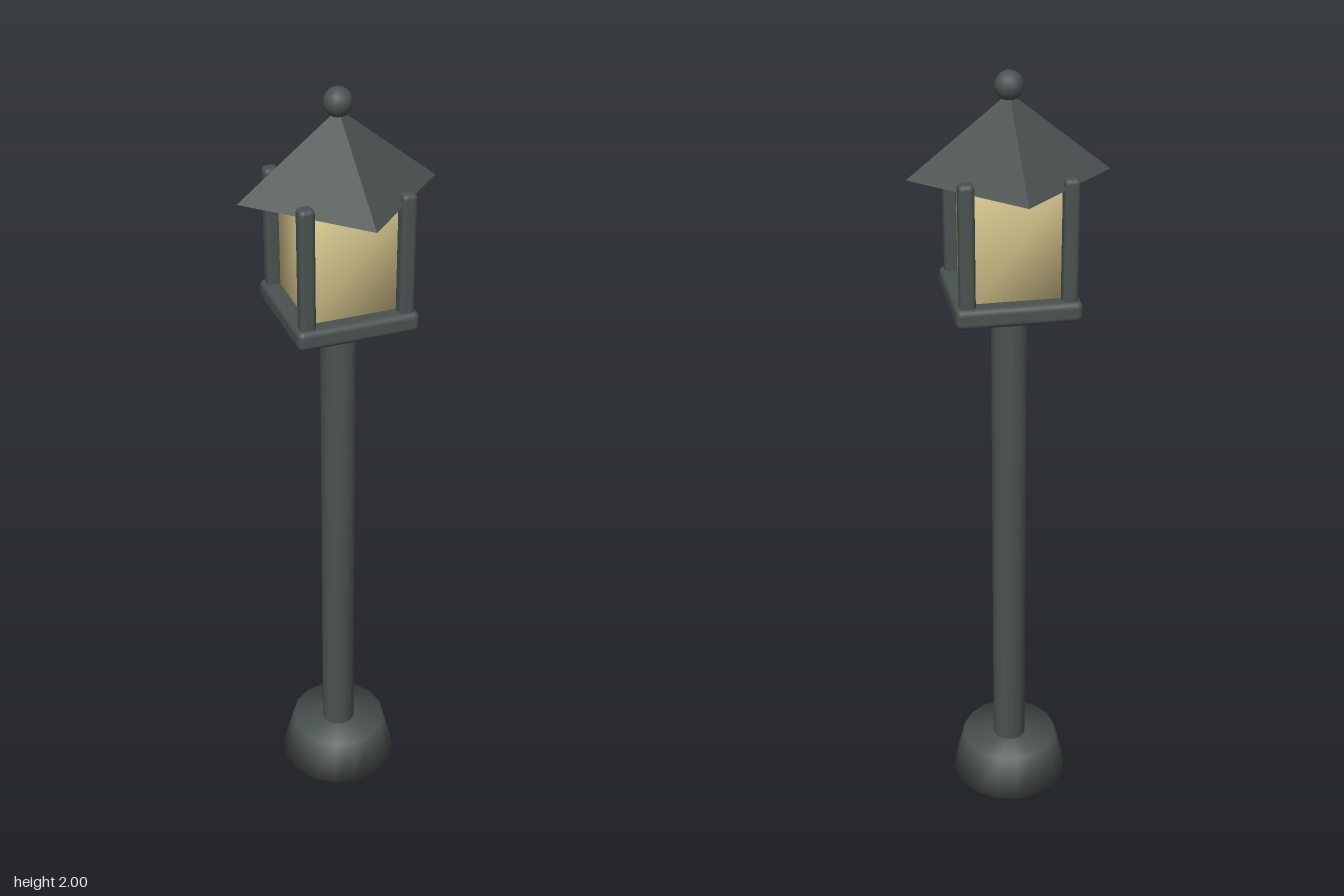
import * as THREE from 'three';
import { mergeVertices } from 'three/addons/utils/BufferGeometryUtils.js';
import { RoundedBoxGeometry } from 'three/addons/geometries/RoundedBoxGeometry.js';

// Weld all corners so shading runs softly across every edge
function soften(geometry) {
  geometry.deleteAttribute('uv');
  geometry.deleteAttribute('normal');
  const welded = mergeVertices(geometry, 1e-4);
  welded.computeVertexNormals();
  return welded;
}

export function createModel() {
  const model = new THREE.Group();
  model.name = 'lampPost';

  const iron = new THREE.MeshStandardMaterial({ color: 0x4a5250 });
  iron.name = 'darkIron';
  const glow = new THREE.MeshStandardMaterial({ color: 0xd8c78e });
  glow.name = 'warmGlass';

  const add = (name, geometry, material, x, y, z) => {
    const mesh = new THREE.Mesh(geometry, material);
    mesh.name = name;
    mesh.position.set(x, y, z);
    model.add(mesh);
    return mesh;
  };

  // Foot and pole
  add('foot', soften(new THREE.CylinderGeometry(0.13, 0.16, 0.12, 16)), iron, 0, 0.06, 0);
  add('pole', soften(new THREE.CylinderGeometry(0.045, 0.045, 1.36, 12)), iron, 0, 0.78, 0);

  // Lantern tray and glass
  add('tray', new RoundedBoxGeometry(0.3, 0.05, 0.3, 3, 0.015), iron, 0, 1.465, 0);
  add('glass', soften(new THREE.BoxGeometry(0.22, 0.29, 0.22)), glow, 0, 1.62, 0);

  // Corner posts, whose rounded tips poke through the roof edges
  const post = new RoundedBoxGeometry(0.038, 0.31, 0.038, 3, 0.012);
  for (const x of [-0.121, 0.121]) {
    for (const z of [-0.121, 0.121]) add('cornerPost', post, iron, x, 1.63, z);
  }

  // Pyramid roof with its corners on the axes
  const roof = new THREE.ConeGeometry(0.24, 0.19, 4).toNonIndexed();
  roof.computeVertexNormals();
  add('roof', roof, iron, 0, 1.855, 0);

  // Ball on top
  add('finial', new THREE.SphereGeometry(0.034, 12, 10), iron, 0, 1.966, 0);

  return model;
}
